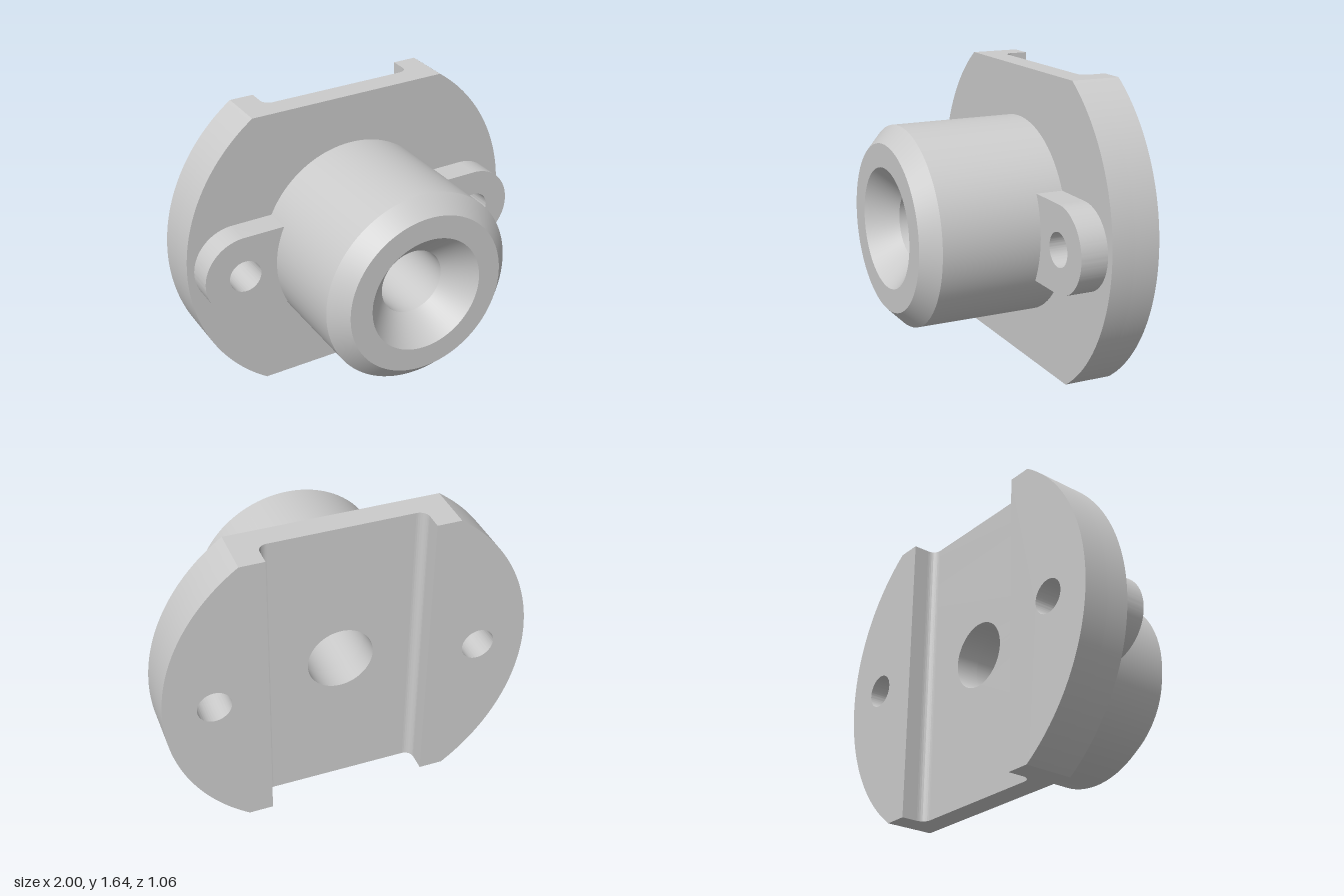
import * as THREE from 'three';
import { toCreasedNormals } from 'three/addons/utils/BufferGeometryUtils.js';

const HALF_H = 0.82;                      // half height of the flange between its flats
const FLAT_X = Math.sqrt(1 - HALF_H ** 2); // where the unit circle meets a flat
const BACK = -0.53, WEB = -0.39, FACE = -0.26, EAR = -0.11, FRONT = 0.53;
const BORE = 0.183, BOLT_X = 0.73, BOLT_R = 0.092;
const CHANNEL = 0.44, FILLET = 0.05;

const material = new THREE.MeshStandardMaterial({ color: 0xcccccc });

function addMesh(parent, name, geometry) {
  const mesh = new THREE.Mesh(toCreasedNormals(geometry, 0.5), material);
  mesh.name = name;
  parent.add(mesh);
  return mesh;
}

function addHole(shape, x, r) {
  const hole = new THREE.Path();
  hole.absarc(x, 0, r, 0, Math.PI * 2, true);
  shape.holes.push(hole);
}

// Extrude an xy outline between two z planes
function slab(shape, z0, z1) {
  const g = new THREE.ExtrudeGeometry(shape, { depth: z1 - z0, bevelEnabled: false, curveSegments: 48 });
  return g.translate(0, 0, z0);
}

export function createModel() {
  const model = new THREE.Group();
  model.name = 'flangedBushing';
  const body = new THREE.Group();
  body.name = 'body';
  body.position.y = HALF_H;
  model.add(body);

  const a = Math.asin(HALF_H);

  // Flange web: round disc with flat top and bottom
  const web = new THREE.Shape();
  web.moveTo(FLAT_X, -HALF_H);
  web.absarc(0, 0, 1, -a, a, false);
  web.lineTo(-FLAT_X, HALF_H);
  web.absarc(0, 0, 1, Math.PI - a, Math.PI + a, false);
  web.closePath();
  addHole(web, 0, BORE);
  addHole(web, BOLT_X, BOLT_R);
  addHole(web, -BOLT_X, BOLT_R);
  addMesh(body, 'flangeWeb', slab(web, WEB, FACE));

  // Barrel with chamfered nose and countersunk bore
  const profile = [
    [BORE, FACE], [0.545, FACE], [0.545, 0.44], [0.455, FRONT],
    [0.327, FRONT], [BORE, 0.38], [BORE, FACE],
  ].map(([r, z]) => new THREE.Vector2(r, z));
  addMesh(body, 'barrel', new THREE.LatheGeometry(profile, 96).rotateX(Math.PI / 2));

  // Side parts: rear cheek, channel fillet and bolt ear, repeated half a turn apart
  for (const side of ['left', 'right']) {
    const half = new THREE.Group();
    half.name = side + 'Side';
    half.rotation.z = side === 'left' ? 0 : Math.PI;
    body.add(half);

    const cheek = new THREE.Shape();
    cheek.moveTo(CHANNEL, -HALF_H);
    cheek.lineTo(FLAT_X, -HALF_H);
    cheek.absarc(0, 0, 1, -a, a, false);
    cheek.lineTo(CHANNEL, HALF_H);
    cheek.closePath();
    addHole(cheek, BOLT_X, BOLT_R);
    addMesh(half, side + 'Cheek', slab(cheek, BACK, WEB));

    // Concave fillet along the channel corner, extruded upright
    const fillet = new THREE.Shape();
    fillet.moveTo(CHANNEL, -WEB);
    fillet.lineTo(CHANNEL, -WEB + FILLET);
    fillet.absarc(CHANNEL - FILLET, -WEB + FILLET, FILLET, 0, -Math.PI / 2, true);
    fillet.closePath();
    addMesh(half, side + 'ChannelFillet', slab(fillet, -HALF_H, HALF_H).rotateX(-Math.PI / 2));

    // Rounded ear around the bolt hole, its root sunk into the barrel
    const ear = new THREE.Shape();
    ear.moveTo(0.48, -0.235);
    ear.lineTo(0.725, -0.235);
    ear.absarc(0.725, 0, 0.235, -Math.PI / 2, Math.PI / 2, false);
    ear.lineTo(0.48, 0.235);
    ear.closePath();
    addHole(ear, BOLT_X, BOLT_R);
    addMesh(half, side + 'BoltEar', slab(ear, FACE, EAR));
  }
  return model;
}
